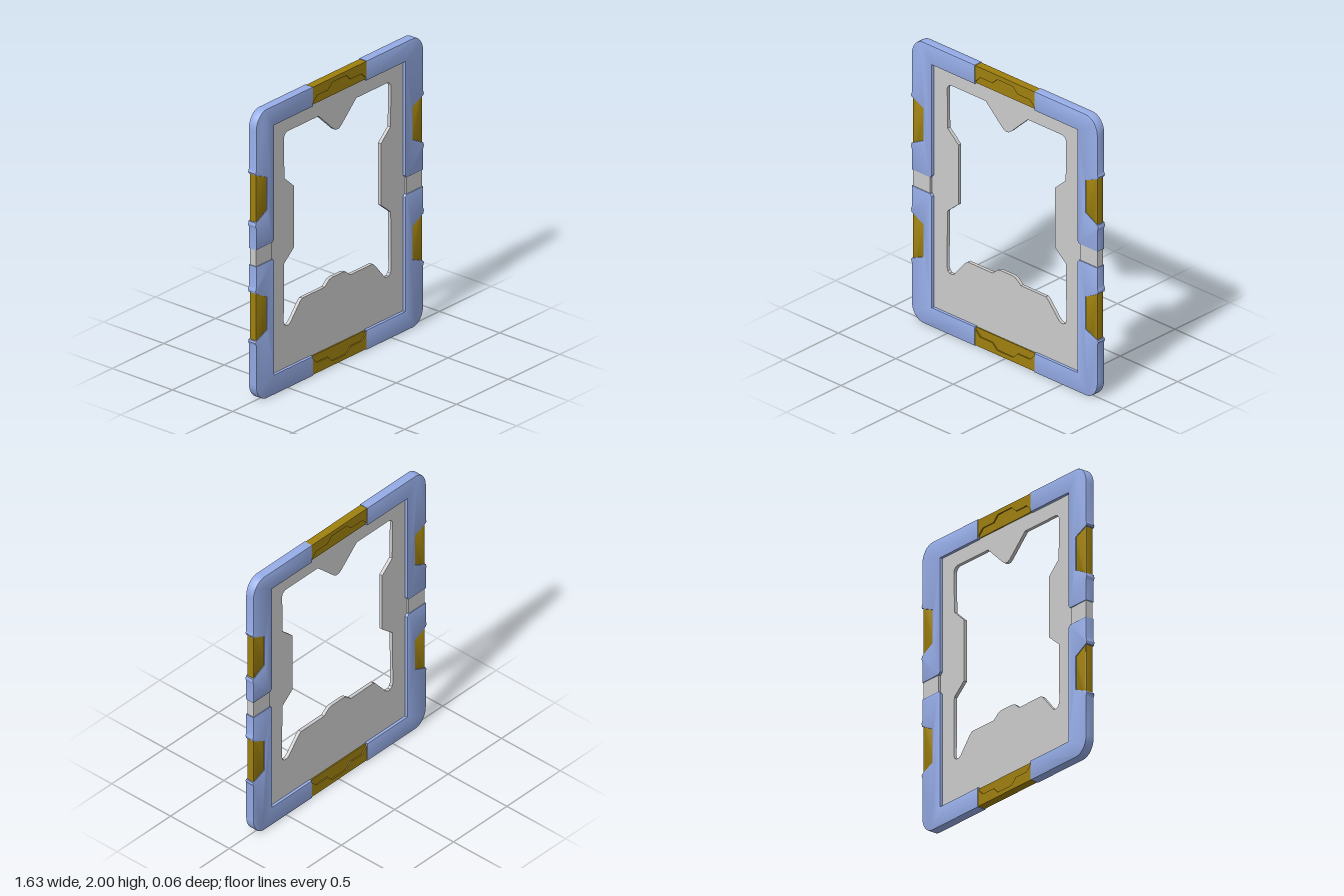
import * as THREE from 'three';
import { toCreasedNormals } from 'three/addons/utils/BufferGeometryUtils.js';

const grey = new THREE.MeshStandardMaterial({ color: 0xcccccc });
const blue = new THREE.MeshStandardMaterial({ color: 0x96ade8 });
const gold = new THREE.MeshStandardMaterial({ color: 0x9e800e });
const MID = 1; // height of the horizontal mirror line

// Slab of the given half thickness, centred on z = 0, keeping its outline when bevelled
function slab(name, shape, half, material, bevel = 0) {
  const geometry = new THREE.ExtrudeGeometry(shape, {
    depth: 2 * (half - bevel),
    bevelEnabled: bevel > 0,
    bevelThickness: bevel,
    bevelSize: bevel,
    bevelOffset: -bevel,
    bevelSegments: 2,
    curveSegments: 8,
  });
  geometry.translate(0, 0, -(half - bevel));
  const mesh = new THREE.Mesh(toCreasedNormals(geometry, 0.5), material);
  mesh.name = name;
  return mesh;
}

// Polygon mirrored into a quadrant: sx flips x, sy flips y about MID
function polygon(points, sx = 1, sy = 1) {
  return new THREE.Shape(points.map(([x, y]) => new THREE.Vector2(sx * x, MID + sy * (y - MID))));
}

// Points of a quarter ellipse running from the +x side to the +y side
function corner(cx, cy, rx, ry, steps = 8) {
  return Array.from({ length: steps + 1 }, (_, i) => {
    const a = (i / steps) * Math.PI / 2;
    return [cx + rx * Math.cos(a), cy + ry * Math.sin(a)];
  });
}

// Inner plate with the shaped window
function innerPlate() {
  const plate = polygon([[-0.69, 0.08], [0.69, 0.08], [0.69, 1.92], [-0.69, 1.92]]);
  const half = [
    [0.05, 0.604], [0.08, 0.597], [0.125, 0.56], [0.34, 0.56], [0.36, 0.545],
    [0.455, 0.432], [0.472, 0.422], [0.495, 0.422], [0.512, 0.435], [0.52, 0.46],
    [0.515, 0.86], [0.42, 0.94], [0.42, 1.365], [0.513, 1.45],
    ...corner(0.48, 1.725, 0.038, 0.04, 5),
    [0.183, 1.765], [0.035, 1.625], [0.015, 1.612],
  ];
  const mirrored = half.map(([x, y]) => [-x, y]).reverse();
  plate.holes.push(polygon([...half, ...mirrored]));
  return slab('innerPlate', plate, 0.012, grey);
}

export function createModel() {
  const model = new THREE.Group();
  model.name = 'tabletFrame';
  model.add(innerPlate());

  // L-shaped corner guard with a tapered notch and slight lips at the notch ends
  const guard = [
    [0.26, 1.865], [0.633, 1.865], [0.633, 1.075], [0.648, 1.058], [0.808, 1.058],
    [0.808, 1.205], [0.815, 1.225], [0.81, 1.245], [0.705, 1.3], [0.705, 1.53],
    [0.81, 1.575], [0.815, 1.587], [0.808, 1.605],
    ...corner(0.708, 1.88, 0.1, 0.12),
    [0.26, 2],
  ];
  // Coloured insert filling the notch, tucked under its edges
  const insert = [[0.69, 1.28], [0.76, 1.25], [0.804, 1.225], [0.804, 1.59], [0.76, 1.57], [0.69, 1.55]];

  for (const sx of [1, -1]) {
    const side = sx > 0 ? 'left' : 'right';
    for (const sy of [1, -1]) {
      const place = side + (sy > 0 ? 'Upper' : 'Lower');
      model.add(slab(place + 'CornerGuard', polygon(guard, sx, sy), 0.032, blue, 0.003));
      model.add(slab(place + 'SideInsert', polygon(insert, sx, sy), 0.027, gold, 0.008));
    }
    // Plain band between the two guards
    const band = [[0.652, 0.93], [0.802, 0.93], [0.802, 1.07], [0.652, 1.07]];
    model.add(slab(side + 'SideBand', polygon(band, sx), 0.026, grey));
  }

  // Middle bars: low base plus a raised outer part with a stepped edge
  const base = [[-0.27, 1.87], [0.27, 1.87], [0.27, 1.99], [-0.27, 1.99]];
  const step = [[0.262, 1.88], [0.215, 1.925], [0.11, 1.925], [0.068, 1.965]];
  const raised = [
    [0.262, 1.996], ...step.map(([x, y]) => [-x, y]).map(([x, y]) => [-x, y]),
    ...step.map(([x, y]) => [-x, y]).reverse(), [-0.262, 1.996],
  ];
  for (const sy of [1, -1]) {
    const place = sy > 0 ? 'top' : 'bottom';
    model.add(slab(place + 'BarBase', polygon(base, 1, sy), 0.02, gold));
    model.add(slab(place + 'BarRaisedEdge', polygon(raised, 1, sy), 0.028, gold));
  }
  return model;
}
